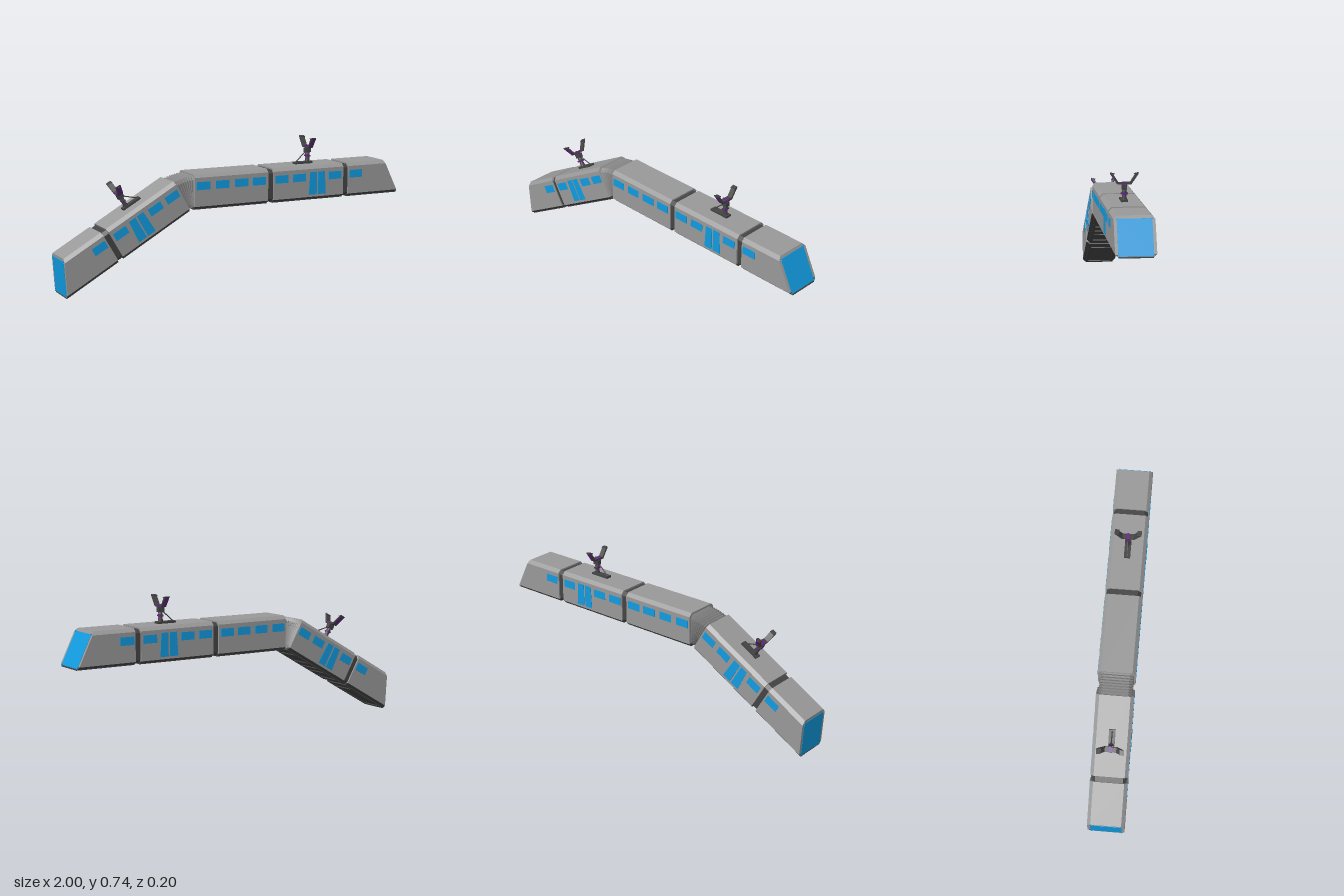
import * as THREE from 'three';

const mat = (color) => new THREE.MeshStandardMaterial({ color, flatShading: true });
const BODY = mat(0x999999), DARK = mat(0x444444), GLASS = mat(0x119be0);
const PURPLE = mat(0x7a10b0), BELLOWS = mat(0x8a8a8a);
const W = 0.1, H = 0.19, SLANT = 0.093 / H;
const V = (x, y, z) => new THREE.Vector3(x, y, z);

function add(parent, name, geometry, material, x = 0, y = 0, z = 0) {
  const mesh = new THREE.Mesh(geometry, material);
  mesh.name = name;
  mesh.position.set(x, y, z);
  parent.add(mesh);
  return mesh;
}

// Closed flat-shaded skin through equal loops of points, running towards +x
function loft(loops) {
  const p = [], n = loops[0].length;
  const tri = (...c) => c.forEach((v) => p.push(v.x, v.y, v.z));
  for (let s = 0; s + 1 < loops.length; s++) {
    const a = loops[s], b = loops[s + 1];
    for (let i = 0; i < n; i++) {
      const j = (i + 1) % n;
      tri(a[i], a[j], b[j]);
      tri(a[i], b[j], b[i]);
    }
  }
  const first = loops[0], last = loops[loops.length - 1];
  for (let i = 1; i + 1 < n; i++) {
    tri(first[0], first[i + 1], first[i]);
    tri(last[0], last[i], last[i + 1]);
  }
  const g = new THREE.BufferGeometry();
  g.setAttribute('position', new THREE.Float32BufferAttribute(p, 3));
  g.computeVertexNormals();
  return g;
}

// Cross-sections as [y, z] pairs
const octagon = (y0, y1, w, c) => [[y0 + c, -w], [y1 - c, -w], [y1, -w + c], [y1, w - c],
  [y1 - c, w], [y0 + c, w], [y0, w - c], [y0, -w + c]];
const SHELL = [[0.017, -W], [H - 0.018, -W], [H, -W + 0.018], [H, W - 0.018], [H - 0.018, W], [0.017, W]];
const FRAME = [[0.005, -W + 0.014], [0.017, -W], [0.017, W], [0.005, W - 0.014]];
const flat = (sec, x) => sec.map(([y, z]) => V(x, y, z));
const sloped = (sec, x = 0) => sec.map(([y, z]) => V(x - SLANT * y, y, z));

// One car from t0 to t1 behind the tip, with panel recesses under the floor
function car(parent, name, t0, t1, panels) {
  const end = (sec) => (t0 === 0 ? sloped(sec) : flat(sec, -t0));
  add(parent, name + 'Shell', loft([flat(SHELL, -t1), end(SHELL)]), BODY);
  add(parent, name + 'Underframe', loft([flat(FRAME, -t1), end(FRAME)]), DARK);
  const rect = (path, a, b, w) => path.moveTo(-b, -w).lineTo(-a, -w).lineTo(-a, w).lineTo(-b, w).closePath();
  const plate = rect(new THREE.Shape(), t0, t1, W - 0.017);
  plate.holes = panels.map(([a, b]) => rect(new THREE.Path(), a, b, 0.067));
  const g = new THREE.ExtrudeGeometry(plate, { depth: 0.005, bevelEnabled: false });
  g.rotateX(Math.PI / 2);
  add(parent, name + 'FloorPanels', g, DARK, 0, 0.005, 0);
}

function windows(parent, centres) {
  for (const t of centres) for (const s of [-1, 1]) {
    add(parent, 'sideWindow', new THREE.BoxGeometry(0.08, 0.043, 0.004), GLASS, -t, 0.128, s * W);
  }
}

// Pair of tapered door leaves on each side
function doors(parent) {
  const leaf = new THREE.Shape([[-0.026, 0.03], [0.024, 0.03], [0.023, 0.155], [-0.018, 0.155]]
    .map(([x, y]) => new THREE.Vector2(x, y)));
  const g = new THREE.ExtrudeGeometry(leaf, { depth: 0.004, bevelEnabled: false });
  g.translate(0, 0, -0.002);
  for (const s of [-1, 1]) {
    add(parent, 'doorLeaf', g, GLASS, -0.555, 0, s * W);
    add(parent, 'doorLeaf', g, GLASS, -0.499, 0, s * W).rotation.y = Math.PI;
  }
}

// Roof arm: foot, jointed mast, stay rod and a fork open at the top
function roofArm(parent) {
  const arm = new THREE.Group();
  arm.name = 'roofArm';
  arm.position.set(-0.535, H, 0);
  parent.add(arm);
  const box = (n, m, x, y, w, h, d) => add(arm, n, new THREE.BoxGeometry(w, h, d), m, x, y, 0);
  const cyl = (n, m, y, r0, r1, h) => add(arm, n, new THREE.CylinderGeometry(r1, r0, h, 12), m, 0, y, 0);
  box('armFoot', DARK, -0.03, 0.005, 0.11, 0.012, 0.034);
  cyl('mastBase', DARK, 0.024, 0.014, 0.01, 0.03);
  cyl('mast', DARK, 0.06, 0.009, 0.009, 0.07);
  box('mastClamp', DARK, 0, 0.042, 0.02, 0.008, 0.034);
  cyl('mastRing', PURPLE, 0.042, 0.012, 0.012, 0.014);
  cyl('mastCollar', DARK, 0.056, 0.013, 0.011, 0.008);
  box('mastHead', DARK, 0, 0.074, 0.034, 0.026, 0.025);
  box('forkPin', PURPLE, 0, 0.095, 0.034, 0.011, 0.01);
  const rod = new THREE.LineCurve3(V(-0.075, 0.01, 0), V(-0.012, 0.065, 0));
  add(arm, 'stayRod', new THREE.TubeGeometry(rod, 1, 0.003, 6), DARK);
  const half = [[0.034, 0.088], [0.071, 0.142], [0.072, 0.148], [0.048, 0.142], [0.056, 0.139], [0.03, 0.099]];
  const outline = [...half, ...half.slice().reverse().map(([z, y]) => [-z, y])];
  const fork = new THREE.ExtrudeGeometry(new THREE.Shape(outline.map(([z, y]) => new THREE.Vector2(z, y))),
    { depth: 0.028, bevelEnabled: false });
  fork.translate(0, 0, -0.014);
  fork.rotateY(Math.PI / 2);
  add(arm, 'fork', fork, DARK);
  for (const s of [-1, 1]) {
    const strip = add(arm, 'forkStripe', new THREE.BoxGeometry(0.011, 0.058, 0.003), PURPLE, 0, 0.116, s * 0.0535);
    strip.rotation.x = s * Math.atan2(0.037, 0.054);
  }
}

// Cab, middle car with doors, and optionally a plain passenger car
function trainSection(name, withPassengerCar) {
  const g = new THREE.Group();
  g.name = name;
  const joint = (t0, t1) => add(g, 'carJoint',
    loft([t1, t0].map((t) => flat(octagon(0.006, H - 0.008, W - 0.008, 0.018), -t))), DARK);

  car(g, 'cab', 0, 0.329, [[0.02, 0.225], [0.26, 0.3]]);
  const pane = octagon(0.008, 0.176, 0.085, 0.008);
  add(g, 'windshield', loft([sloped(pane, -0.004), sloped(pane, 0.002)]), GLASS);
  for (const y of [0.009, 0.175]) for (const s of [-1, 1]) {
    const bolt = add(g, 'windshieldBolt', new THREE.CylinderGeometry(0.004, 0.004, 0.008, 10), GLASS,
      -SLANT * y, y, s * 0.084);
    bolt.rotation.z = -Math.PI / 2 + Math.atan(SLANT);
  }
  joint(0.329, 0.361);
  car(g, 'doorCar', 0.361, 0.8, [[0.393, 0.44], [0.485, 0.511], [0.547, 0.571], [0.615, 0.657], [0.725, 0.77]]);
  windows(g, [0.28, 0.415, 0.64, 0.75]);
  doors(g);
  roofArm(g);
  if (withPassengerCar) {
    joint(0.8, 0.833);
    car(g, 'passengerCar', 0.833, 1.27, [[0.865, 0.91], [0.955, 1.0], [1.03, 1.075], [1.105, 1.15], [1.195, 1.24]]);
    windows(g, [0.888, 0.995, 1.107, 1.22]);
  }
  return g;
}

export function createModel() {
  const model = new THREE.Group();
  model.name = 'train';
  const tilt = Math.PI / 6;

  const level = trainSection('levelSection', true);
  level.position.set(1, 0.404, 0);
  const sloping = trainSection('slopingSection', false);
  sloping.rotation.set(0, Math.PI, tilt, 'ZYX');
  sloping.position.set(-0.985, 0, 0);
  model.add(level, sloping);

  // Pleated bellows fanning between the two sections
  const rings = [], count = 16;
  for (let i = 0; i <= count; i++) {
    const u = i / count, a = tilt * (1 - u), inset = i % 2 ? 0.016 : 0.009;
    const x = -0.293 + 0.024 * u, y0 = 0.4 + 0.004 * u;
    rings.push(octagon(inset, H - inset, W - inset, 0.018)
      .map(([y, z]) => V(x - Math.sin(a) * y, y0 + Math.cos(a) * y, z)));
  }
  add(model, 'bellows', loft(rings), BELLOWS);
  return model;
}
